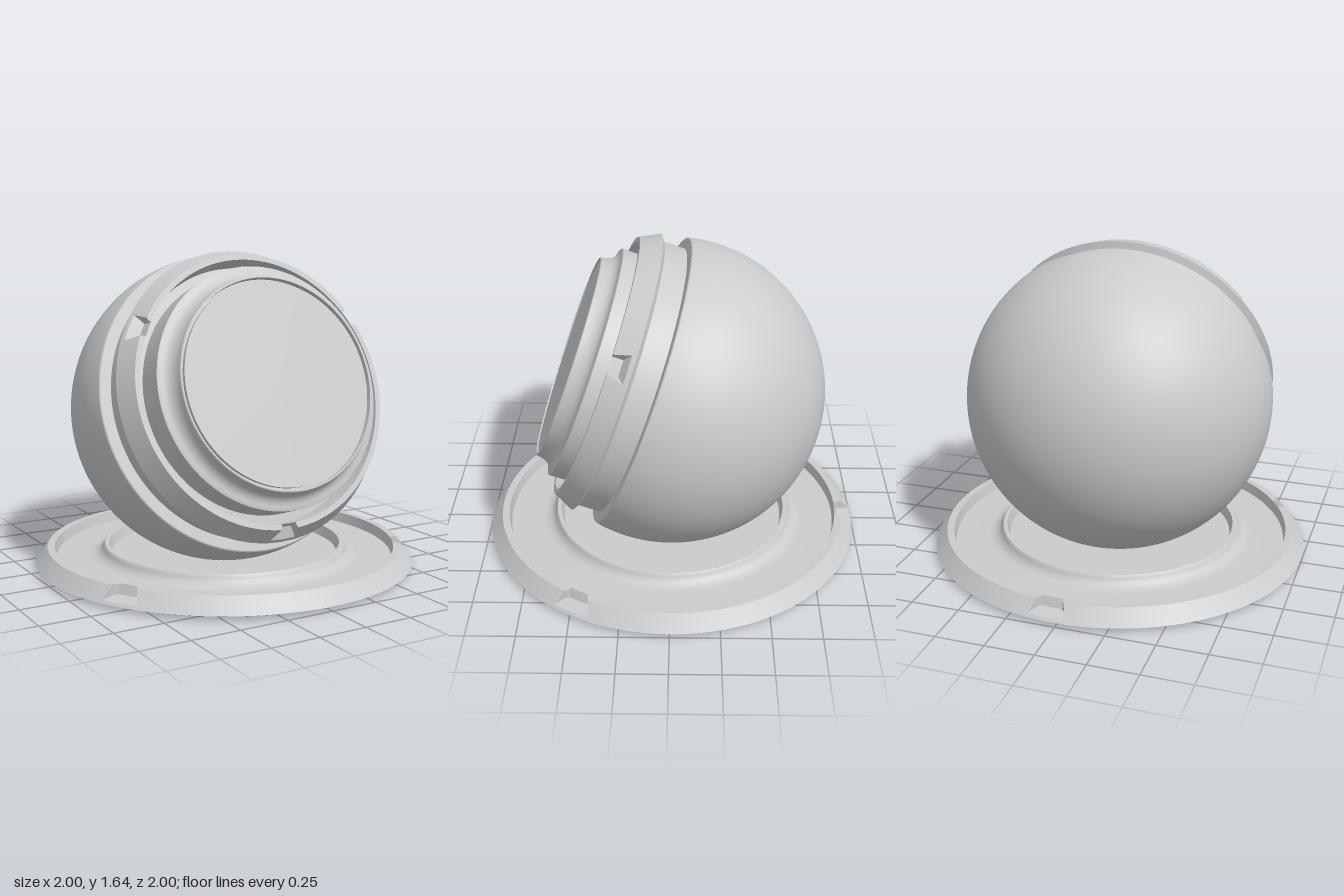
import * as THREE from 'three';
import { toCreasedNormals } from 'three/addons/utils/BufferGeometryUtils.js';

const material = new THREE.MeshStandardMaterial({ color: 0xcccccc });
const TAU = Math.PI * 2;
const toPoints = (list) => list.map(([r, y]) => new THREE.Vector2(r, y));

function part(name, geometry) {
  const mesh = new THREE.Mesh(geometry, material);
  mesh.name = name;
  return mesh;
}

// Turned solid with crisp profile corners
function turned(points, segments = 96) {
  return toCreasedNormals(new THREE.LatheGeometry(toPoints(points), segments), 0.5);
}

// Concave or convex fillet as a short list of profile points
function fillet(from, control, to, steps = 8) {
  return new THREE.QuadraticBezierCurve(...toPoints([from, control, to]))
    .getPoints(steps).map((p) => [p.x, p.y]);
}

// Turned ring whose profile drops to a second profile inside each notch.
// halfWidths holds half the notch angle at each profile point.
function notchedRing(full, cut, halfWidths, notchAngles) {
  const stations = [];
  const n = notchAngles.length;
  const steps = 34;
  const widest = Math.max(...halfWidths) + 0.02;
  notchAngles.forEach((angle, k) => {
    const next = k + 1 < n ? notchAngles[k + 1] : notchAngles[0] + TAU;
    for (const [profile, side] of [[full, -1], [cut, -1], [cut, 0], [cut, 1], [full, 1]]) {
      stations.push({ profile, phi: (j) => angle + side * halfWidths[j] });
    }
    const start = angle + widest, end = next - widest;
    for (let i = 0; i <= steps; i++) {
      const a = start + (end - start) * i / steps;
      stations.push({ profile: full, phi: () => a });
    }
  });
  const first = stations[0];
  stations.push({ profile: full, phi: (j) => first.phi(j) + TAU });

  const geometry = new THREE.LatheGeometry(toPoints(full), stations.length - 1);
  const position = geometry.attributes.position;
  stations.forEach(({ profile, phi }, i) => profile.forEach(([r, y], j) => {
    const a = phi(j);
    position.setXYZ(i * full.length + j, r * Math.sin(a), y, r * Math.cos(a));
  }));
  return toCreasedNormals(geometry, 0.5);
}

function createBase() {
  const base = new THREE.Group();
  base.name = 'base';

  // Underside with a stepped foot ring and a shallow hollow centre
  base.add(part('underside', turned([
    [0, 0.035], [0.6, 0.035], [0.61, 0.014], [0.66, 0.014], [0.67, 0],
    [0.7, 0], [0.715, 0.014], [0.98, 0.014],
  ])));

  // Bevelled outer rim with three notches
  const rim = [[0.98, 0.014], [1, 0.022], [0.988, 0.036], [0.938, 0.1],
    [0.912, 0.1], [0.9, 0.1], [0.89, 0.045]];
  const rimCut = rim.map((p) => [...p]);
  rimCut[3] = [0.93, 0.048];
  rimCut[4] = [0.917, 0.052];
  base.add(part('baseRim', notchedRing(rim, rimCut,
    [0.1, 0.1, 0.1, 0.075, 0.06, 0.06, 0.06],
    [Math.PI / 3, Math.PI - 0.05, Math.PI * 5 / 3])));

  // Tray floor rising to the raised collar around the ball
  base.add(part('trayAndCollar', turned([
    [0.89, 0.045],
    ...fillet([0.715, 0.045], [0.655, 0.048], [0.64, 0.1]),
    [0.635, 0.105], [0.615, 0.105], [0.6, 0.05], [0, 0.05],
  ])));
  return base;
}

function createBall() {
  const ball = new THREE.Group();
  ball.name = 'ball';

  // Sphere cut by a tilted plane, with the groove and the front hub
  const profile = [];
  const cutAngle = Math.asin(0.175 / 0.8);
  for (let i = 0; i <= 56; i++) {
    const t = -Math.PI / 2 + (cutAngle + Math.PI / 2) * i / 56;
    profile.push([i ? 0.8 * Math.cos(t) : 0, 0.8 * Math.sin(t)]);
  }
  profile.push([0.775, 0.18], [0.72, 0.182], [0.72, 0.31], [0.615, 0.32]);
  ball.add(part('sphere', turned(profile, 128)));

  ball.add(part('hub', turned([
    [0.615, 0.32], [0.617, 0.483],
    ...fillet([0.61, 0.487], [0.545, 0.49], [0.539, 0.572]),
    [0.535, 0.576], [0.529, 0.576], [0.526, 0.55], [0.5, 0.55],
  ])));

  const disc = part('frontDisc', new THREE.CylinderGeometry(0.515, 0.515, 0.03, 96));
  disc.position.y = 0.555;
  ball.add(disc);

  // Bevelled ring around the hub with three notches
  const ring = [[0.72, 0.3], [0.752, 0.32], [0.741, 0.342], [0.7, 0.423],
    [0.685, 0.423], [0.672, 0.423], [0.66, 0.31]];
  const ringCut = ring.map((p) => [...p]);
  ringCut[3] = [0.695, 0.362];
  ringCut[4] = [0.682, 0.368];
  ball.add(part('ring', notchedRing(ring, ringCut,
    [0.095, 0.095, 0.095, 0.07, 0.06, 0.06, 0.06],
    [0, TAU / 3, TAU * 2 / 3])));

  // Front faces forward and 20 degrees up
  ball.rotation.x = THREE.MathUtils.degToRad(70);
  ball.position.y = 0.82;
  return ball;
}

export function createModel() {
  const model = new THREE.Group();
  model.name = 'previewBall';
  model.add(createBase(), createBall());
  return model;
}
